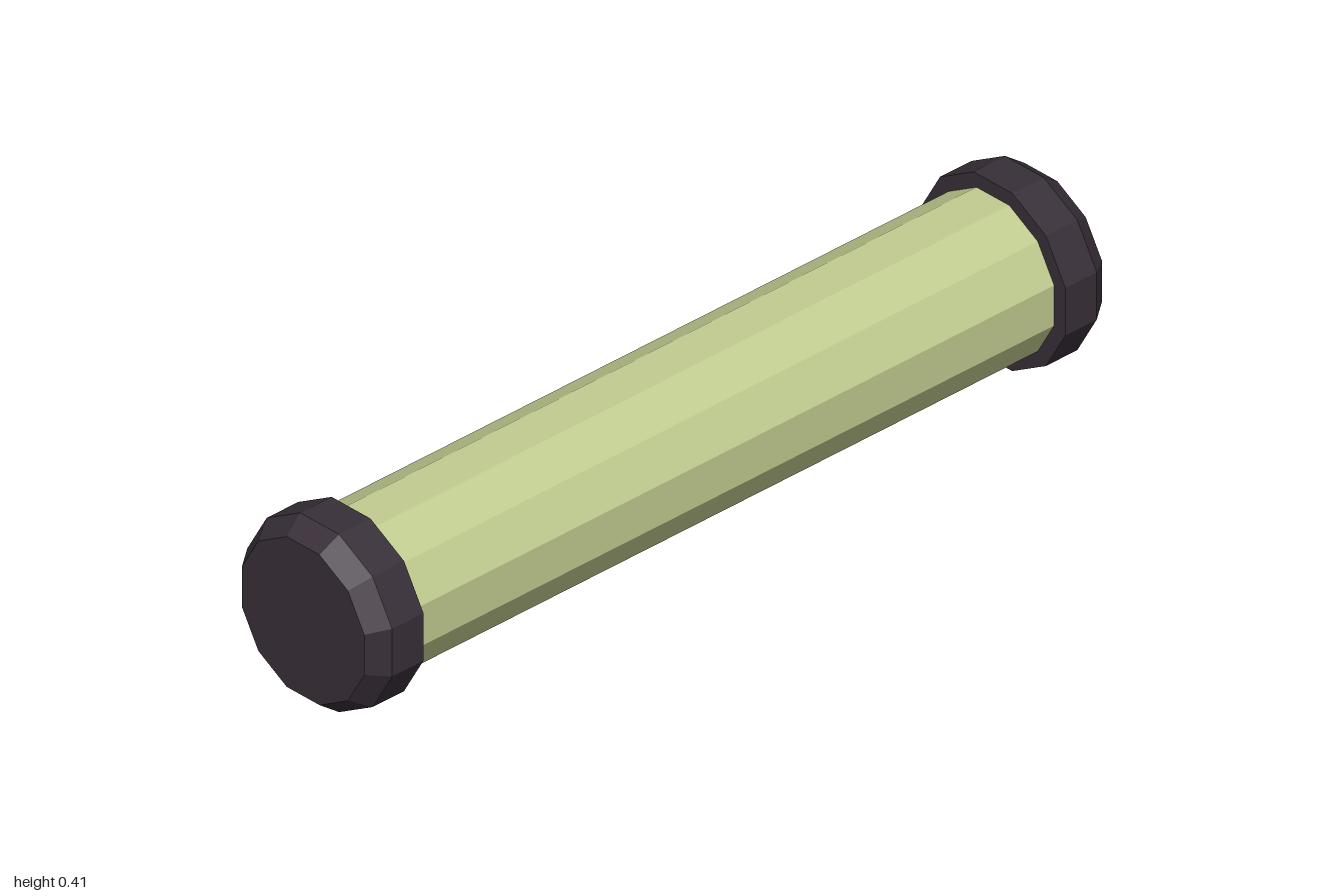
import * as THREE from 'three';

const R = 0.18, CAP_R = 0.213, CENTER_Y = 0.206, CAP_IN = 0.87;

const green = new THREE.MeshStandardMaterial({ color: 0xc1cc90 });
green.name = 'paleGreen';
const grey = new THREE.MeshStandardMaterial({ color: 0xd0c8c3 });
grey.name = 'warmGrey';
const dark = new THREE.MeshStandardMaterial({ color: 0x382f38 });
dark.name = 'darkPlum';

// Separate faces give each facet its own flat normal
function faceted(geometry) {
  const g = geometry.index ? geometry.toNonIndexed() : geometry;
  g.computeVertexNormals();
  return g;
}

// Sweep a (y, z) outline along x between the two caps
function strip(outline) {
  const pos = [], x = CAP_IN + 0.02;
  for (let i = 0; i < outline.length - 1; i++) {
    const [ay, az] = outline[i], [by, bz] = outline[i + 1];
    pos.push(-x, ay, az, x, ay, az, x, by, bz);
    pos.push(-x, ay, az, x, by, bz, -x, by, bz);
  }
  const g = new THREE.BufferGeometry();
  g.setAttribute('position', new THREE.Float32BufferAttribute(pos, 3));
  return faceted(g);
}

// Corner of the twelve-sided tube; 0 degrees faces front, 90 faces up
const corner = (deg) => {
  const a = THREE.MathUtils.degToRad(deg);
  return [R * Math.sin(a), R * Math.cos(a)];
};
const between = (p, q, t) => [p[0] + (q[0] - p[0]) * t, p[1] + (q[1] - p[1]) * t];

export function createModel() {
  const group = new THREE.Group();
  group.name = 'cappedTube';
  const add = (name, geometry, material) => {
    const mesh = new THREE.Mesh(geometry, material);
    mesh.name = name;
    mesh.position.y = CENTER_Y;
    group.add(mesh);
  };

  // Tube wall, with a grey band along the upper back
  const bandTop = between(corner(135), corner(165), 0.12);
  const bandBottom = between(corner(165), corner(195), 0.5);
  const wall = [bandBottom];
  for (let deg = 195; deg <= 495; deg += 30) wall.push(corner(deg));
  wall.push(bandTop);
  add('tubeBody', strip(wall), green);
  add('backBand', strip([bandTop, corner(165), bandBottom]), grey);

  // Chamfered end caps
  const profile = [[0, CAP_IN], [CAP_R, CAP_IN], [CAP_R, 0.955], [R, 1], [0, 1]]
    .map(([r, y]) => new THREE.Vector2(r, y));
  for (const side of [1, -1]) {
    const cap = new THREE.LatheGeometry(profile, 12, Math.PI / 12);
    cap.rotateZ(-side * Math.PI / 2);
    add(side > 0 ? 'leftCap' : 'rightCap', faceted(cap), dark);
  }
  return group;
}
